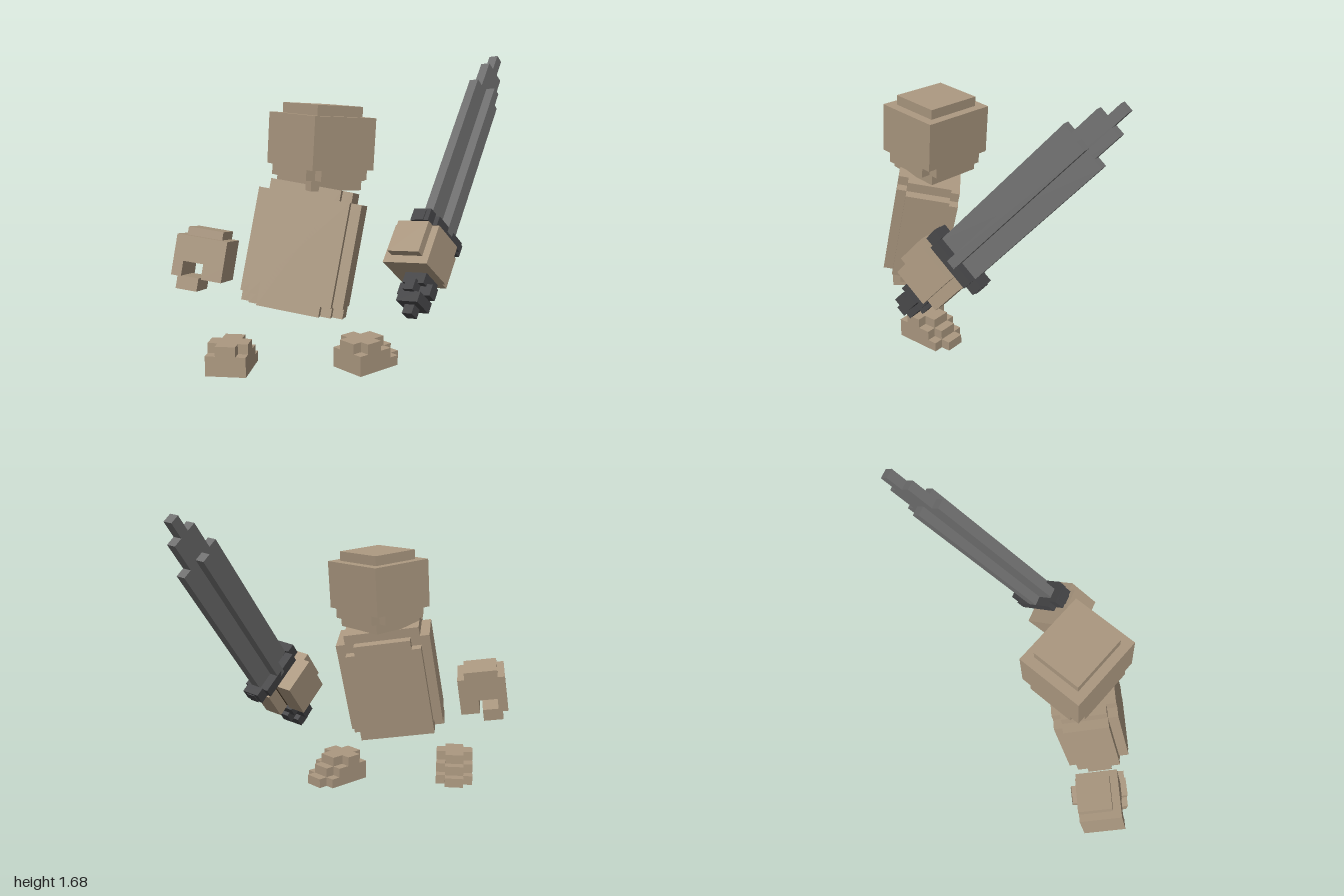
import * as THREE from 'three';

const U = 0.0555; // one voxel

const mat = (name, color) => {
  const m = new THREE.MeshStandardMaterial({ color });
  m.name = name;
  return m;
};

// Boxes are given in voxels: size, then centre.
function addBoxes(group, name, material, list) {
  for (const [w, h, d, x = 0, y = 0, z = 0] of list) {
    const mesh = new THREE.Mesh(new THREE.BoxGeometry(w * U, h * U, d * U), material);
    mesh.position.set(x * U, y * U, z * U);
    mesh.name = name;
    group.add(mesh);
  }
}

// Group whose y axis is up and whose z axis is as near to back as possible.
function frame(name, pos, up, back) {
  const g = new THREE.Group();
  g.name = name;
  const y = new THREE.Vector3(...up).normalize();
  const x = new THREE.Vector3().crossVectors(y, new THREE.Vector3(...back)).normalize();
  const z = new THREE.Vector3().crossVectors(x, y);
  g.quaternion.setFromRotationMatrix(new THREE.Matrix4().makeBasis(x, y, z));
  g.position.set(...pos);
  return g;
}

// Hooked fist with a slot along z; side = 1 or -1 mirrors it.
function addHand(group, material, side) {
  addBoxes(group, 'palm', material, [
    [5, 2.5, 4.2, 0, 0.9, 0],
    [2, 1.5, 4.2, 1.5 * side, -1.1, 0],
    [1, 1.5, 4.2, -2 * side, -1.1, 0],
  ]);
  addBoxes(group, 'knuckles', material, [[3.5, 0.8, 3.4, 0, 2.55, -0.4]]);
  addBoxes(group, 'finger', material, [[2.1, 1.3, 3.4, -0.85 * side, -2.45, 0.2]]);
}

export function createModel() {
  const model = new THREE.Group();
  const stone = mat('tan stone', 0xab9880);
  const steel = mat('grey steel', 0x6f6f6f);
  const iron = mat('dark iron', 0x454547);
  const wood = mat('dark wood', 0x4a3a28);

  // Head: block with a raised crown, chipped lower corners and a chin plate
  const head = frame('head', [0.005, 1.206, 0.317], [0.01, 0.997, -0.07], [-0.096, 0.07, 0.995]);
  addBoxes(head, 'skull', stone, [
    [8, 5, 7, 0, 0.5, 0],
    [8, 1, 5, 0, -2.5, 0],
    [6, 1, 7, 0, -2.5, 0],
  ]);
  addBoxes(head, 'crown', stone, [[6, 1, 5.2, 0, 3.5, 0]]);
  addBoxes(head, 'chin', stone, [[6, 1, 5.8, 0, -3.5, 0]]);
  model.add(head);

  // Torso: leaning slab with stepped edges
  const back = [0.64, 0.15, 0.76];
  const torso = frame('torso', [0.005, 0.667, 0.432], [0, 0.97, -0.245], back);
  addBoxes(torso, 'chest', stone, [
    [10, 10, 4.5, 0, 0, 0],
    [10, 11, 2.5, 0, -0.5, 0],
    [8, 12, 4.5, 0, 0, 0],
  ]);
  addBoxes(torso, 'frontPanel', stone, [
    [8, 10, 1, 0, -1, -2.75],
    [6, 11, 1, 0, -0.5, -2.75],
  ]);
  addBoxes(torso, 'backPanel', stone, [
    [8, 10, 1, 0, 0, 2.75],
    [6, 12, 1, 0, 0, 2.75],
  ]);
  model.add(torso);

  // Empty hand
  const openHand = frame('openHand', [-0.405, 0.592, 0.80], [0, 0.975, -0.22], back);
  addHand(openHand, stone, 1);
  model.add(openHand);

  // Feet: stepped toes, chipped heel corners
  for (const [name, x, z, turn] of [['swordSideFoot', 0.225, 0.33, 0], ['openHandSideFoot', -0.147, 0.86, 0.715]]) {
    const foot = new THREE.Group();
    foot.name = name;
    addBoxes(foot, 'sole', stone, [
      [4, 1, 5, 0, 0.5, -2.5],
      [2, 1, 1, 0, 0.5, -5.5],
    ]);
    addBoxes(foot, 'instep', stone, [
      [4, 1, 4, 0, 1.5, -2],
      [2, 1, 1, 0, 1.5, -4.5],
    ]);
    addBoxes(foot, 'ankle', stone, [
      [2, 1, 4, 0, 2.5, -2],
      [4, 1, 1.7, 0, 2.5, -1.85],
    ]);
    foot.position.set(x, 0, z);
    foot.rotation.y = turn;
    model.add(foot);
  }

  // Sword; local y runs from pommel to tip, origin at the guard
  const sword = frame('sword', [0.398, 0.713, -0.182], [-0.208, 0.75, -0.628], [0.08, 0.65, 0.75]);
  addBoxes(sword, 'blade', steel, [
    [1, 17.8, 5, 0, 8.9, 0],
    [1, 20.9, 3, 0, 10.45, 0],
    [1, 22.8, 1, 0, 11.4, 0],
    [3, 18.1, 1, 0, 9.05, 0],
  ]);
  addBoxes(sword, 'guard', iron, [
    [3, 1, 5, 0, 0, 0],
    [1, 1.1, 7.2, 0, 0, 0],
    [2, 1.3, 1, 0, 0.1, 3],
    [2, 1.3, 1, 0, 0.1, -3],
  ]);
  addBoxes(sword, 'grip', wood, [[1.6, 4.9, 1.6, 0, -2.9, 0]]);
  addBoxes(sword, 'pommel', iron, [
    [1.1, 4, 1.1, 0, -7.1, 0],
    [3.7, 1.2, 1.1, 0, -6.5, 0],
    [1.1, 1.2, 3.3, 0, -6.5, 0],
    [2.4, 1.1, 2.4, 0, -5.6, 0],
    [2.4, 1.1, 2.4, 0, -7.6, 0],
  ]);

  // Fist around the grip, its slot along the sword
  const swordHand = new THREE.Group();
  swordHand.name = 'swordHand';
  addHand(swordHand, stone, -1);
  swordHand.rotation.x = Math.PI / 2;
  swordHand.position.set(-0.4 * U, -2.9 * U, 0.8 * U);
  sword.add(swordHand);
  model.add(sword);

  return model;
}
